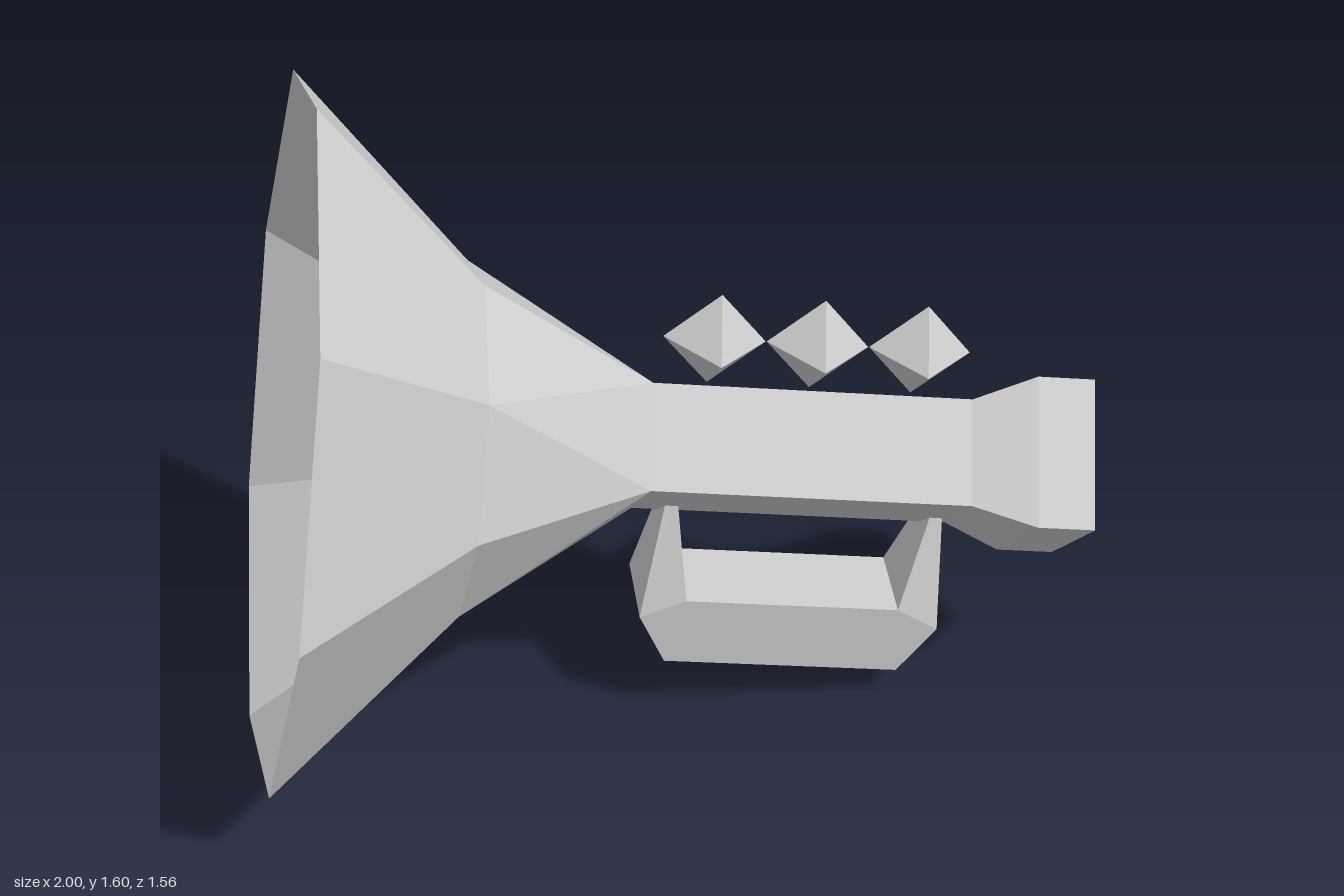
import * as THREE from 'three';

const brass = new THREE.MeshStandardMaterial({ color: 0xcccccc, flatShading: true, side: THREE.DoubleSide });
brass.name = 'pale grey metal';

function part(name, geometry) {
  const mesh = new THREE.Mesh(geometry, brass);
  mesh.name = name;
  return mesh;
}

// Skin between rings of points that run counterclockwise around the path
function loft(rings, capStart, capEnd) {
  const pos = [];
  const tri = (a, b, c) => {
    const area = b.clone().sub(a).cross(c.clone().sub(a)).length();
    if (area > 1e-6) pos.push(...a.toArray(), ...b.toArray(), ...c.toArray());
  };
  const n = rings[0].length;
  for (let r = 0; r < rings.length - 1; r++) {
    const A = rings[r], B = rings[r + 1];
    for (let i = 0; i < n; i++) {
      const j = (i + 1) % n;
      tri(A[i], A[j], B[j]);
      tri(A[i], B[j], B[i]);
    }
  }
  const first = rings[0], last = rings[rings.length - 1];
  for (let i = 1; i < n - 1; i++) {
    if (capStart) tri(first[0], first[i + 1], first[i]);
    if (capEnd) tri(last[0], last[i], last[i + 1]);
  }
  const g = new THREE.BufferGeometry();
  g.setAttribute('position', new THREE.Float32BufferAttribute(pos, 3));
  g.computeVertexNormals();
  return g;
}

// Ring around the x axis; angles in eighths of a turn, starting at the top
const ring = (x, radius, eighths) => eighths.map((e) => {
  const a = e * Math.PI / 4;
  return new THREE.Vector3(x, radius * Math.cos(a), radius * Math.sin(a));
});

export function createModel() {
  const root = new THREE.Group();
  root.name = 'trumpet';

  // Instrument lies along local x, from bell mouth to mouthpiece, then is tilted
  const body = new THREE.Group();
  body.name = 'instrument';
  const up = new THREE.Vector3(0.115, 0.8, 0).normalize();
  const side = new THREE.Vector3(0.205, -0.0295, 0.78).normalize();
  const along = up.clone().cross(side).normalize();
  body.quaternion.setFromRotationMatrix(new THREE.Matrix4().makeBasis(along, up, side));
  body.position.set(-0.775, 0.8, 0);
  root.add(body);

  // Open eight-sided bell narrowing to the square pipe
  const octagon = [0, 1, 2, 3, 4, 5, 6, 7];
  const square = [0, 2, 4, 6];
  body.add(part('bell', loft([
    ring(0, 0.807, octagon),
    ring(0.4, 0.398, octagon),
    ring(0.8, 0.17, [0, 0, 2, 2, 4, 4, 6, 6]),
  ])));

  // Square pipe and flared mouthpiece
  body.add(part('pipe', loft([ring(0.8, 0.17, square), ring(1.523, 0.17, square)])));
  body.add(part('mouthpiece', loft([
    ring(1.523, 0.17, square),
    ring(1.66, 0.24, square),
    ring(1.79, 0.24, square),
  ], false, true)));

  // Three floating valve buttons
  for (let i = 0; i < 3; i++) {
    const valve = part('valve' + (i + 1), new THREE.OctahedronGeometry(0.114));
    valve.position.set(0.918 + 0.23 * i, 0.294, 0);
    body.add(valve);
  }

  // Handle loop: [outer x, outer y, inner x, inner y, half width], mirrored about its middle
  const half = [
    [0.313, -0.08, 0.299, -0.08, 0.025],
    [0.345, -0.40, 0.245, -0.35, 0.1],
    [0.271, -0.522, 0.245, -0.35, 0.1],
  ];
  const section = ([ox, oy, ix, iy, w], s) => [
    new THREE.Vector3(1.185 + s * ox, oy, -w),
    new THREE.Vector3(1.185 + s * ix, iy, -w),
    new THREE.Vector3(1.185 + s * ix, iy, w),
    new THREE.Vector3(1.185 + s * ox, oy, w),
  ];
  body.add(part('handle', loft([
    ...half.map((p) => section(p, -1)),
    ...half.slice().reverse().map((p) => section(p, 1)),
  ], true, true)));

  return root;
}
